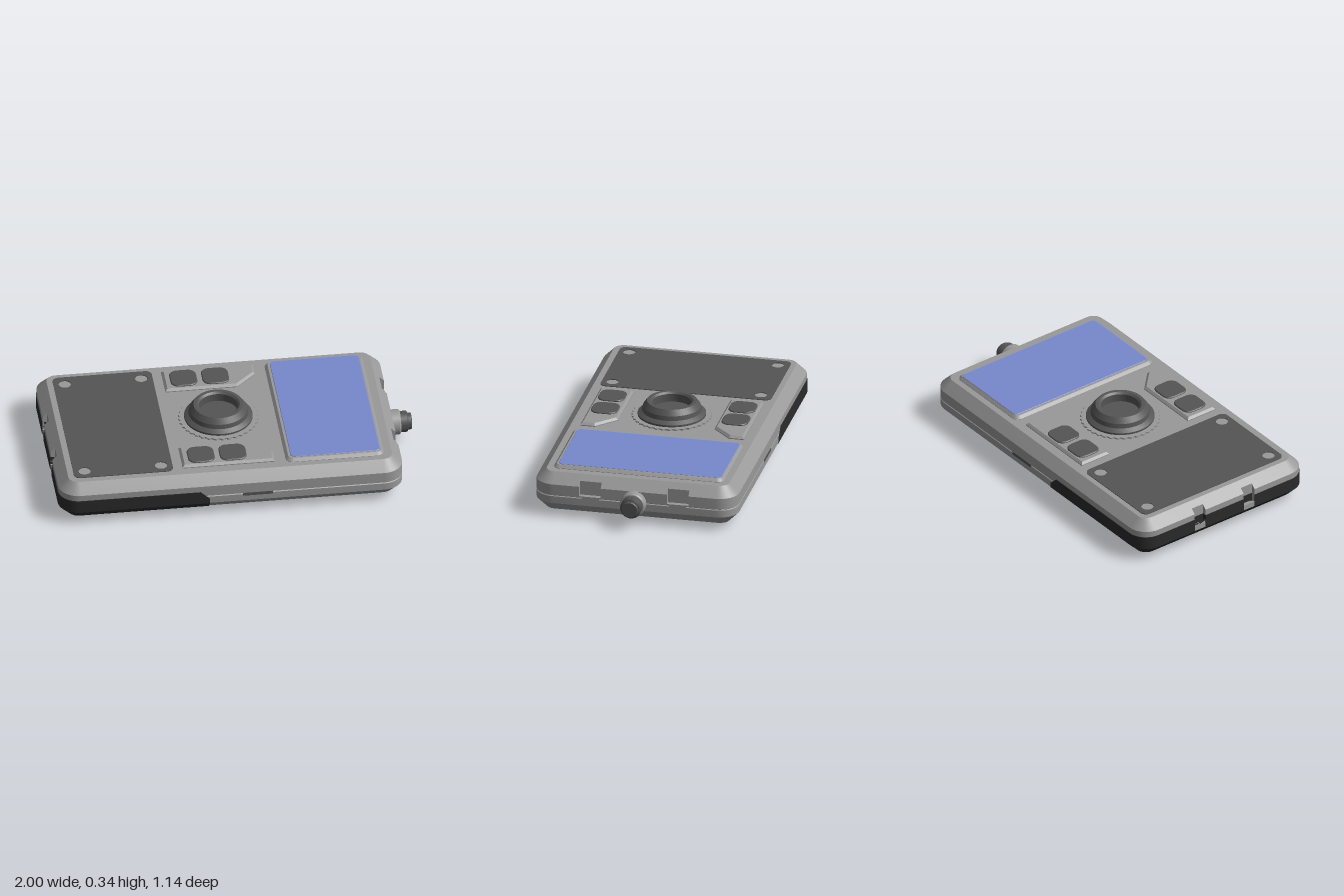
import * as THREE from 'three';
import { toCreasedNormals } from 'three/addons/utils/BufferGeometryUtils.js';

const mat = (color, side = THREE.FrontSide) =>
  new THREE.MeshStandardMaterial({ color, side });
const GREY = 0x999999, DARK = 0x555555, RUBBER = 0x2b2b2b, BLUE = 0x7788cc;
const CX = -0.055, HX = 0.945, HZ = 0.565, R = 0.11, ARC = 8, TOP = 0.245;

function add(parent, name, geometry, color, side) {
  const mesh = new THREE.Mesh(geometry, mat(color, side));
  mesh.name = name;
  parent.add(mesh);
  return mesh;
}

// Plan outline of the case as [x, z]; notch depths are for the left and right ends
function outline(inset, notchL = 0, notchR = 0) {
  const pts = [];
  const arc = (sx, sz, start) => {
    for (let i = 0; i <= ARC; i++) {
      const a = start + (i / ARC) * Math.PI / 2, r = R - inset;
      pts.push([CX + sx * (HX - R) + r * Math.cos(a), sz * (HZ - R) + r * Math.sin(a)]);
    }
  };
  const notches = (s, z0, z1, depth) => {
    const out = CX + s * (HX - inset), inn = CX + s * (HX - Math.max(inset, depth));
    for (const [a, b] of [[-z1, -z0], [z0, z1]])
      pts.push([out, s * a], [inn, s * a], [inn, s * b], [out, s * b]);
  };
  arc(1, 1, 0);
  arc(-1, 1, Math.PI / 2);
  notches(-1, 0.13, 0.205, notchL);
  arc(-1, -1, Math.PI);
  arc(1, -1, Math.PI * 1.5);
  notches(1, 0.185, 0.305, notchR);
  return pts;
}

// Skin between stacked rings { y, pts }, bottom to top
function loft(rings, closed) {
  const pos = [], n = rings[0].pts.length;
  const at = (i, j) => {
    const [x, z] = rings[i].pts[j % n];
    return new THREE.Vector3(x, rings[i].y, z);
  };
  const tri = (a, b, c) => {
    if (new THREE.Triangle(a, b, c).getArea() > 1e-9)
      for (const p of [a, b, c]) pos.push(p.x, p.y, p.z);
  };
  for (let i = 0; i < rings.length - 1; i++)
    for (let j = 0; j < (closed ? n : n - 1); j++) {
      const a = at(i, j), b = at(i, j + 1), c = at(i + 1, j + 1), d = at(i + 1, j);
      tri(a, d, c);
      tri(a, c, b);
    }
  const g = new THREE.BufferGeometry();
  g.setAttribute('position', new THREE.Float32BufferAttribute(pos, 3));
  return toCreasedNormals(g, 0.5);
}

const polygon = (pts, flip = -1) =>
  new THREE.Shape(pts.map(([x, z]) => new THREE.Vector2(x, flip * z)));

function circle(x, y, r) {
  const p = new THREE.Path();
  p.absarc(x, y, r, 0, Math.PI * 2, true);
  return p;
}

function roundRect(cx, cz, w, d, r) {
  const s = new THREE.Shape(), y = -cz, q = Math.PI / 2;
  const corners = [[1, 1], [-1, 1], [-1, -1], [1, -1]];
  corners.forEach(([sx, sy], i) =>
    s.absarc(cx + sx * (w / 2 - r), y + sy * (d / 2 - r), r, i * q, (i + 1) * q, false));
  s.closePath();
  return s;
}

// Horizontal slab with bevelled edges between two heights
function slab(shape, y0, y1, bevel) {
  const depth = y1 - y0 - 2 * bevel;
  const g = new THREE.ExtrudeGeometry(shape, {
    depth, bevelEnabled: bevel > 0, bevelSize: bevel, bevelThickness: bevel,
    bevelOffset: -bevel, bevelSegments: 1, curveSegments: 8,
  });
  g.rotateX(-Math.PI / 2).translate(0, y0 + bevel, 0);
  return toCreasedNormals(g, 0.5);
}

const lathe = (pts, seg = 40) =>
  toCreasedNormals(new THREE.LatheGeometry(pts.map(p => new THREE.Vector2(...p)), seg), 0.4);

function buildCase(group) {
  // [y, inset, left notch, right notch]
  const D = 0.025;
  const rings = [
    [0.025, 0.055, 0, 0], [0.08, 0, 0, 0], [0.11, 0, 0, 0], [0.11, 0, D, 0],
    [0.121, 0, D, 0], [0.1245, 0.005, D, 0], [0.128, 0, D, 0], [0.135, 0, D, 0],
    [0.135, 0, D, D], [0.19, 0, D, D], [0.215, D, D, D], [TOP, 0.055, 0, 0],
  ].map(([y, inset, l, r]) => ({ y, pts: outline(inset, l, r) }));
  add(group, 'caseShell', loft(rings, true), GREY);
  const topFace = new THREE.ShapeGeometry(polygon(outline(0.055)));
  add(group, 'caseTop', topFace.rotateX(-Math.PI / 2).translate(0, TOP, 0), GREY);

  // Underside with two screw wells
  const base = polygon(outline(0.055), 1);
  for (const s of [-1, 1]) {
    base.holes.push(circle(0.56, s * 0.2, 0.033));
    const wall = new THREE.CylinderGeometry(0.033, 0.033, 0.04, 20, 1, true);
    add(group, 'screwWell', wall.translate(0.56, 0.045, s * 0.2), DARK, THREE.BackSide);
    const floor = new THREE.CircleGeometry(0.033, 20).rotateX(Math.PI / 2);
    add(group, 'screwWellFloor', floor.translate(0.56, 0.06, s * 0.2), RUBBER);
  }
  add(group, 'caseBottom',
    new THREE.ShapeGeometry(base, 16).rotateX(Math.PI / 2).translate(0, 0.025, 0), GREY);
}

function buildGrip(group) {
  // Wraps the lower right end; the two open edges slant near the top
  const first = ARC + 1, count = 2 * (ARC + 1) + 8;
  const ring = (y, inset, endX, notch) => {
    const pts = outline(inset, notch).slice(first, first + count), z = HZ - inset;
    return { y, pts: [[endX, z], ...pts, [endX, -z]] };
  };
  const o = -0.003, n = 0.022;
  const rings = [
    ring(0.022, 0.054, -0.18, 0), ring(0.08, o, -0.18, 0), ring(0.11, o, -0.18, 0),
    ring(0.11, o, -0.18, n), ring(0.155, o, -0.23, n), ring(0.156, 0.01, -0.23, n),
  ];
  add(group, 'gripShell', loft(rings, false), RUBBER, THREE.DoubleSide);
  const bottom = new THREE.ShapeGeometry(polygon(rings[0].pts, 1));
  add(group, 'gripBottom', bottom.rotateX(Math.PI / 2).translate(0, 0.022, 0), RUBBER);
  for (let i = 0; i < 6; i++)
    add(group, 'gripRib', slab(roundRect(-0.85 + i * 0.116, 0, 0.07, 0.86, 0.03), 0.004, 0.05, 0.017), RUBBER);
}

function buildDial(group) {
  const dial = new THREE.Group();
  dial.name = 'dial';
  dial.position.x = -0.06;
  group.add(dial);
  // Knurled collar
  const teeth = [];
  for (let i = 0; i < 144; i++) {
    const a = (i / 144) * Math.PI * 2, r = i % 4 < 2 ? 0.22 : 0.212;
    teeth.push([r * Math.cos(a), r * Math.sin(a)]);
  }
  add(dial, 'dialCollar', slab(polygon(teeth), 0.23, 0.253, 0), GREY);
  add(dial, 'dialKnob', lathe([
    [0.187, 0.24], [0.187, 0.264], [0.163, 0.28], [0.158, 0.305], [0.136, 0.335],
    [0.117, 0.335], [0.106, 0.325], [0.106, 0.28], [0, 0.28],
  ], 48), DARK, THREE.DoubleSide);
}

export function createModel() {
  const model = new THREE.Group();
  model.name = 'handheldDevice';
  buildCase(model);
  buildGrip(model);
  buildDial(model);

  // Dark cover panel with four screw openings
  const cover = roundRect(-0.64, -0.003, 0.545, 0.955, 0.035);
  for (const x of [-0.85, -0.43])
    for (const z of [-0.415, 0.415]) cover.holes.push(circle(x, z, 0.034));
  add(model, 'coverPanel', slab(cover, 0.235, 0.249, 0), DARK);

  // Screen
  add(model, 'screenBezel', slab(roundRect(0.522, 0, 0.54, 0.95, 0.04), 0.215, 0.262, 0.015), GREY);
  add(model, 'screen', slab(roundRect(0.525, -0.005, 0.49, 0.91, 0.025), 0.25, 0.265, 0.002), BLUE);

  for (const s of [-1, 1]) {
    // Button plates with a cut inner corner
    const plate = [[-0.315, 0.27], [0.08, 0.27], [0.19, 0.375], [0.19, 0.457], [-0.315, 0.457]];
    add(model, 'buttonPlate', slab(polygon(plate.map(([x, z]) => [x, s * z])), 0.22, 0.262, 0.012), GREY);
    for (const x of [-0.205, -0.03])
      add(model, 'button', slab(roundRect(x, s * 0.365, 0.147, 0.147, 0.045), 0.245, 0.27, 0.004), DARK);

    // Side slot
    const slot = new THREE.BoxGeometry(0.165, 0.018, 0.01);
    add(model, 'sideSlot', slot.translate(0.083, 0.12, s * 0.561), DARK);

    // Tab below each end notch
    const tab = new THREE.BoxGeometry(0.02, 0.023, 0.095);
    add(model, 'latchTab', tab.translate(0.882, 0.1235, s * 0.243), GREY);

    // Slanted foot bar
    const dx = 0.44, dz = 0.115, len = Math.hypot(dx, dz);
    const foot = slab(roundRect(0, 0, len + 0.066, 0.066, 0.032), 0, 0.05, 0.008);
    foot.rotateY(s * Math.atan2(dz, dx)).translate(0.47, 0, s * 0.337);
    add(model, 'footBar', foot, GREY);
  }

  // End connector
  const connector = new THREE.Group();
  connector.name = 'connector';
  connector.rotation.z = -Math.PI / 2;
  connector.position.set(0.88, 0.125, 0);
  model.add(connector);
  add(connector, 'connectorCollar', lathe([[0.07, 0], [0.07, 0.05], [0.064, 0.058], [0, 0.058]]), GREY);
  add(connector, 'connectorCap', lathe([
    [0.058, 0.05], [0.058, 0.095], [0.05, 0.1], [0.046, 0.1], [0.046, 0.116], [0.042, 0.12], [0, 0.12],
  ]), DARK);
  return model;
}
